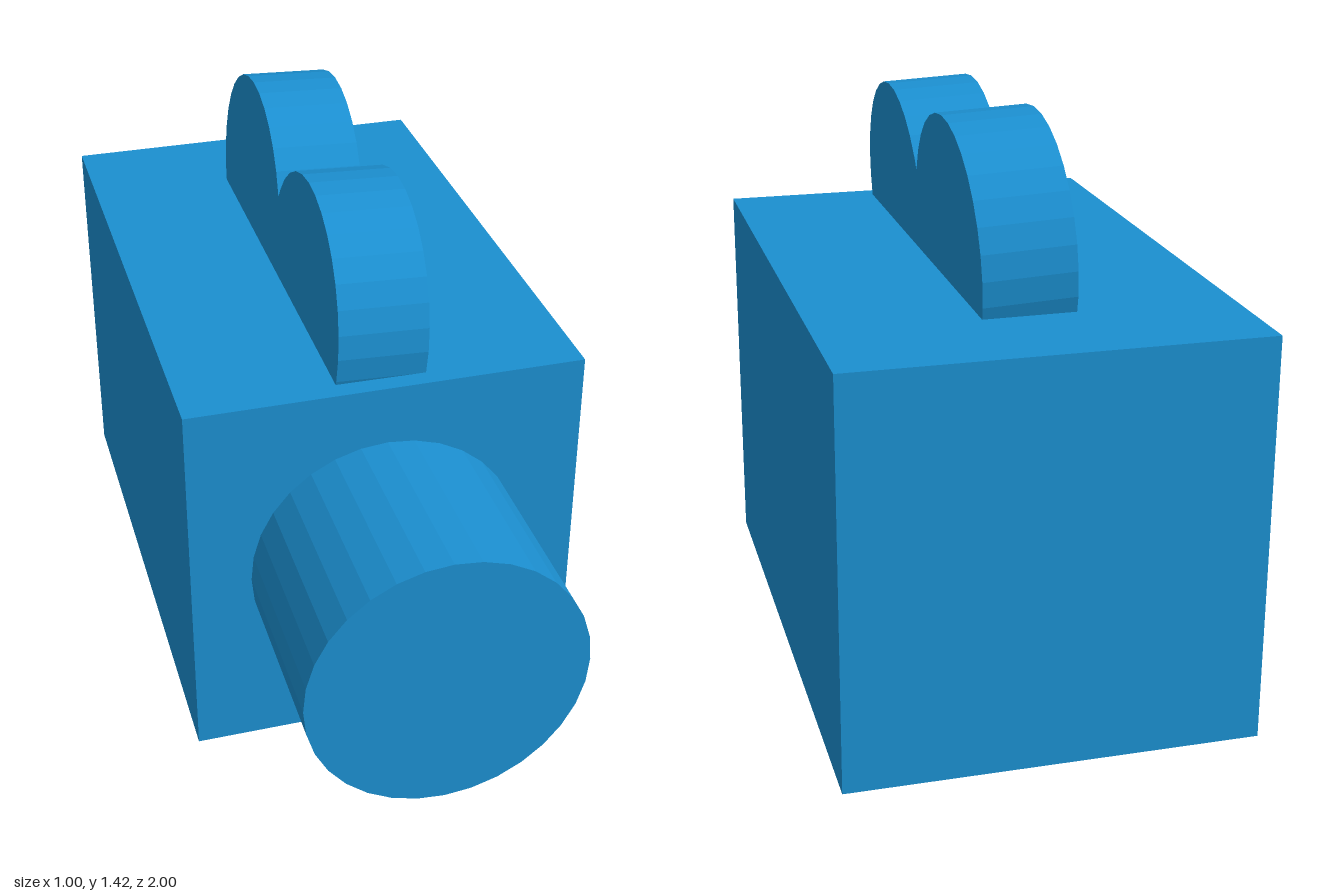
import * as THREE from 'three';

export function createModel() {
  const model = new THREE.Group();
  model.name = 'movieCamera';
  const blue = new THREE.MeshStandardMaterial({ color: 0x1b8fd0, flatShading: true });

  function add(name, geometry, x, y, z) {
    const mesh = new THREE.Mesh(geometry, blue);
    mesh.name = name;
    mesh.position.set(x, y, z);
    model.add(mesh);
    return mesh;
  }

  // Box body, with its front face at z = 0.5
  add('body', new THREE.BoxGeometry(1, 1, 1.5), 0, 0.5, -0.25);

  // Lens barrel, sunk slightly into the body
  const lens = add('lens', new THREE.CylinderGeometry(0.347, 0.347, 0.55, 32), 0, 0.5, 0.725);
  lens.rotation.x = Math.PI / 2;

  // Two overlapping film reels, leaning slightly to the left and sunk into the top
  const lean = 0.047;
  const reels = [
    ['frontReel', 1.066, 0.143],
    ['rearReel', 1.096, -0.429],
  ];
  for (const [name, y, z] of reels) {
    const x = (y - 1.1) * lean;
    const reel = add(name, new THREE.CylinderGeometry(0.316, 0.316, 0.225, 32), x, y, z);
    reel.rotation.z = Math.PI / 2 - lean;
  }

  return model;
}
